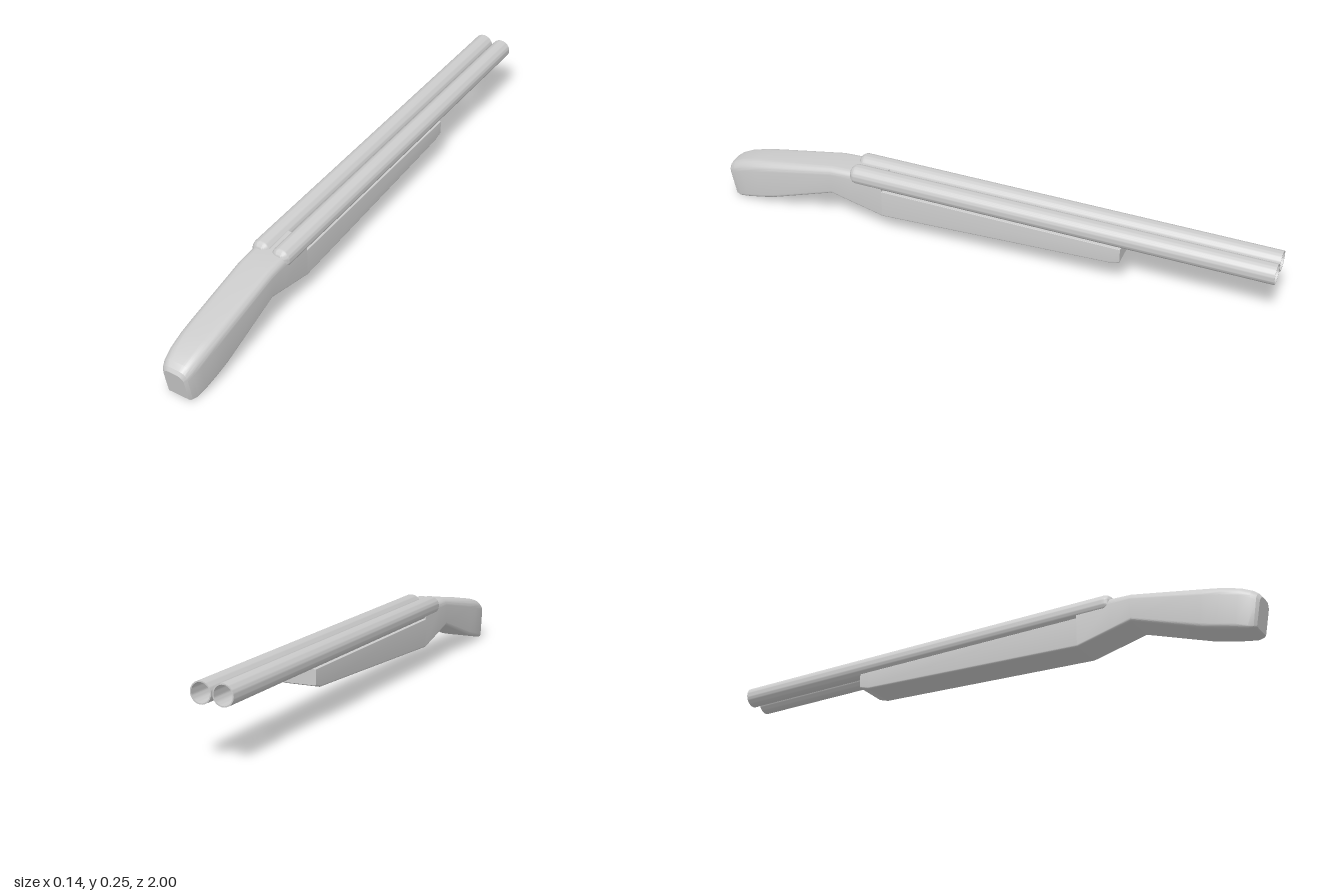
import * as THREE from 'three';
import { toCreasedNormals } from 'three/addons/utils/BufferGeometryUtils.js';

const material = new THREE.MeshStandardMaterial({ color: 0xcccccc });

// Rounded-rectangle section, counterclockwise seen from +z; zTop and zBottom tilt it
function section([zTop, yTop, zBottom, yBottom, halfWidth, topRadius, bottomRadius]) {
  const steps = 8;
  const ring = [];
  const corners = [
    [1, yBottom + bottomRadius, bottomRadius, -Math.PI / 2],
    [1, yTop - topRadius, topRadius, 0],
    [-1, yTop - topRadius, topRadius, Math.PI / 2],
    [-1, yBottom + bottomRadius, bottomRadius, Math.PI],
  ];
  for (const [side, cy, radius, start] of corners) {
    for (let i = 0; i <= steps; i++) {
      const a = start + (i / steps) * Math.PI / 2;
      const y = cy + radius * Math.sin(a);
      const t = (y - yBottom) / (yTop - yBottom);
      ring.push([
        side * (halfWidth - radius) + radius * Math.cos(a),
        y,
        zBottom + (zTop - zBottom) * t,
      ]);
    }
  }
  return ring;
}

// Skin a row of sections running from +z to -z and cap both ends
function loft(name, rows) {
  const rings = rows.map(section);
  const n = rings[0].length;
  const positions = [];
  const triangle = (a, b, c) => positions.push(...a, ...b, ...c);
  for (let s = 0; s < rings.length - 1; s++) {
    for (let j = 0; j < n; j++) {
      const k = (j + 1) % n;
      const [a, b, c, d] = [rings[s][j], rings[s][k], rings[s + 1][k], rings[s + 1][j]];
      triangle(a, d, c);
      triangle(a, c, b);
    }
  }
  const first = rings[0];
  const last = rings[rings.length - 1];
  for (let j = 1; j < n - 1; j++) {
    triangle(first[0], first[j], first[j + 1]);
    triangle(last[0], last[j + 1], last[j]);
  }
  const geometry = new THREE.BufferGeometry();
  geometry.setAttribute('position', new THREE.Float32BufferAttribute(positions, 3));
  const mesh = new THREE.Mesh(toCreasedNormals(geometry, 0.27), material);
  mesh.name = name;
  return mesh;
}

// Hollow tube with a rounded closed rear end
function barrel(name, x) {
  const outer = 0.035, inner = 0.031, round = 0.027;
  const profile = [new THREE.Vector2(0, -0.5)];
  for (let i = 0; i <= 8; i++) {
    const a = (i / 8) * Math.PI / 2;
    profile.push(new THREE.Vector2(
      outer - round + round * Math.sin(a),
      -0.5 + round * (1 - Math.cos(a)),
    ));
  }
  profile.push(
    new THREE.Vector2(outer, 1),
    new THREE.Vector2(inner, 1),
    new THREE.Vector2(inner, -0.45),
    new THREE.Vector2(0, -0.45),
  );
  const geometry = toCreasedNormals(new THREE.LatheGeometry(profile, 40), 0.6);
  geometry.rotateX(-Math.PI / 2);
  const mesh = new THREE.Mesh(geometry, material);
  mesh.name = name;
  mesh.position.set(x, 0.21, 0);
  return mesh;
}

export function createModel() {
  const model = new THREE.Group();
  model.name = 'doubleBarrelGun';

  // Each row: zTop, yTop, zBottom, yBottom, halfWidth, topRadius, bottomRadius
  model.add(loft('stock', [
    [1.0, 0.11, 0.98, 0.005, 0.038, 0.025, 0.003],
    [0.992, 0.122, 0.972, 0.002, 0.047, 0.03, 0.006],
    [0.975, 0.135, 0.955, 0, 0.054, 0.033, 0.01],
    [0.94, 0.15, 0.92, 0.007, 0.06, 0.034, 0.013],
    [0.88, 0.166, 0.86, 0.021, 0.064, 0.033, 0.014],
    [0.82, 0.177, 0.81, 0.034, 0.065, 0.032, 0.014],
    [0.57, 0.222, 0.57, 0.12, 0.065, 0.025, 0.01],
    [0.5, 0.225, 0.5, 0.104, 0.065, 0.025, 0.008],
    [0.375, 0.228, 0.375, 0.075, 0.065, 0.025, 0.006],
  ]));

  // Long wooden grip under the barrels
  model.add(loft('foreEnd', [
    [0.375, 0.178, 0.375, 0.075, 0.065, 0.001, 0.006],
    [-0.455, 0.178, -0.455, 0.114, 0.065, 0.001, 0.006],
    [-0.49, 0.178, -0.49, 0.126, 0.065, 0.001, 0.004],
  ]));

  model.add(barrel('leftBarrel', 0.037), barrel('rightBarrel', -0.037));
  return model;
}
